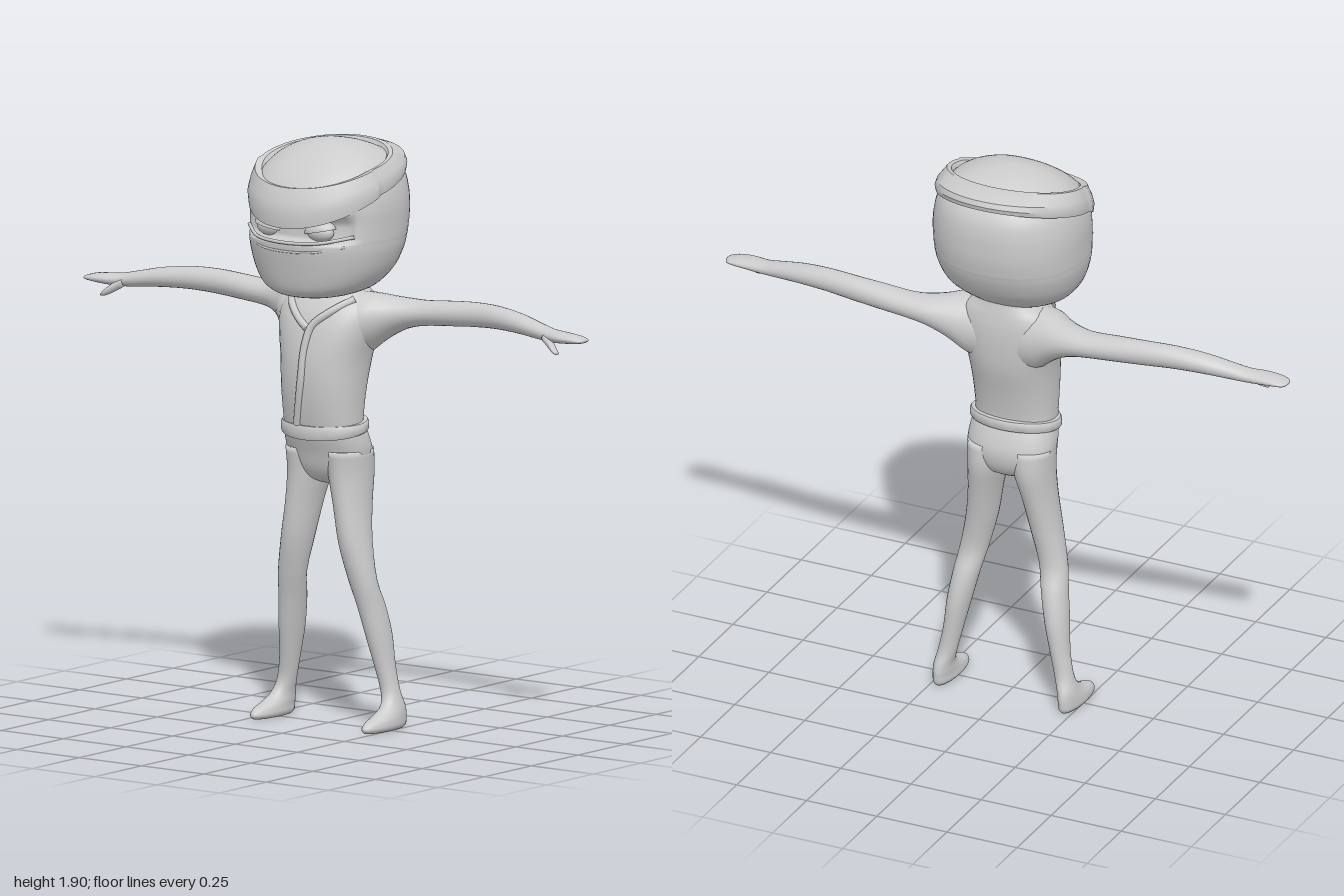
import * as THREE from 'three';
import { toCreasedNormals } from 'three/addons/utils/BufferGeometryUtils.js';

const material = new THREE.MeshStandardMaterial({ color: 0xcccccc, side: THREE.DoubleSide });

function addMesh(parent, name, geometry) {
  const mesh = new THREE.Mesh(geometry, material);
  mesh.name = name;
  parent.add(mesh);
  return mesh;
}

function indexed(points, index) {
  const g = new THREE.BufferGeometry();
  g.setAttribute('position', new THREE.Float32BufferAttribute(points.flat(), 3));
  g.setIndex(index);
  g.computeVertexNormals();
  return g;
}

// Mirror across x = 0, keeping faces outward
function mirrored(geometry) {
  const g = geometry.clone().scale(-1, 1, 1);
  const id = g.index.array;
  for (let i = 0; i < id.length; i += 3) [id[i], id[i + 1]] = [id[i + 1], id[i]];
  g.computeVertexNormals();
  return g;
}

function addPair(parent, name, geometry) {
  addMesh(parent, 'left' + name, geometry);
  addMesh(parent, 'right' + name, mirrored(geometry));
}

// Smoothly subdivide section rows
function refine(rows, steps) {
  const out = [];
  for (let i = 0; i < rows.length - 1; i++) {
    const [a, b, c, d] = [-1, 0, 1, 2].map(k => rows[THREE.MathUtils.clamp(i + k, 0, rows.length - 1)]);
    for (let s = 0; s < steps; s++) {
      const t = s / steps;
      out.push(b.map((q, k) => q + 0.5 * t * (c[k] - a[k] + t * (2 * a[k] - 5 * q + 4 * c[k] - d[k]
        + t * (3 * (q - c[k]) + d[k] - a[k])))));
    }
  }
  out.push(rows[rows.length - 1]);
  return out;
}

// Loft rounded sections [t, u0, u1, v0, v1]; along y: u = x, v = z; along x: u = y, v = z
function loft(rows, { axis = 'y', n = 2, segs = 28, steps = 3 } = {}) {
  const pts = [], index = [], sections = refine(rows, steps), last = sections.length - 1;
  const put = (t, u, v) => pts.push(axis === 'y' ? [u, t, v] : [t, u, v]);
  const tri = (a, b, c) => axis === 'y' ? index.push(a, b, c) : index.push(a, c, b);
  const bend = c => Math.sign(c) * Math.abs(c) ** (2 / n);
  sections.forEach(([t, u0, u1, v0, v1], r) => {
    for (let j = 0; j < segs; j++) {
      const a = j / segs * Math.PI * 2;
      put(t, (u0 + u1) / 2 + (u1 - u0) / 2 * bend(Math.cos(a)), (v0 + v1) / 2 + (v1 - v0) / 2 * bend(Math.sin(a)));
      if (r === last) continue;
      const p = r * segs + j, q = r * segs + (j + 1) % segs;
      tri(p, p + segs, q);
      tri(q, p + segs, q + segs);
    }
  });
  for (const r of [0, last]) {
    const [t, u0, u1, v0, v1] = sections[r], centre = pts.length;
    put(t, (u0 + u1) / 2, (v0 + v1) / 2);
    for (let j = 0; j < segs; j++) {
      const p = r * segs + j, q = r * segs + (j + 1) % segs;
      r ? tri(p, centre, q) : tri(p, q, centre);
    }
  }
  return indexed(pts, index);
}

// Closed band: a closed profile for every angle around y (0 = front)
function hoop(profile, segs = 72) {
  const pts = [], index = [];
  for (let i = 0; i < segs; i++) {
    const ring = profile(i / segs * Math.PI * 2), m = ring.length;
    pts.push(...ring);
    for (let j = 0; j < m; j++) {
      const k = (j + 1) % m, e = ((i + 1) % segs) * m, s = i * m;
      index.push(s + j, e + j, s + k, s + k, e + j, e + k);
    }
  }
  return toCreasedNormals(indexed(pts, index), 0.6);
}

// Front surface depth of a y-loft at (x, y)
function frontZ(rows, n, x, y) {
  let i = 0;
  while (i < rows.length - 2 && rows[i + 1][0] < y) i++;
  const f = (y - rows[i][0]) / (rows[i + 1][0] - rows[i][0]);
  const [, u0, u1, v0, v1] = rows[i].map((q, k) => q + (rows[i + 1][k] - q) * f);
  const s = Math.min(1, Math.abs(x / ((u1 - u0) / 2)));
  return (v0 + v1) / 2 + (v1 - v0) / 2 * (1 - s ** n) ** (1 / n);
}

// Piping laid on a surface through [x, y] points
function piping(rows, n, path, radius) {
  const p = path.map(([x, y]) => new THREE.Vector3(x, y, frontZ(rows, n, x, y)));
  return new THREE.TubeGeometry(new THREE.CatmullRomCurve3(p), 40, radius, 8);
}

// Symmetric section from height, half-width, back and front
const sym = ([y, w, back, front]) => [y, -w, w, back, front];

export function createModel() {
  const model = new THREE.Group();
  const head = new THREE.Group();
  head.name = 'head';
  model.add(head);
  const smooth = THREE.MathUtils.smoothstep;

  // Head with the eye slit pressed in above the mask
  const headRows = [
    [1.405, 0.04, 0.02, 0.12], [1.41, 0.1, -0.04, 0.175], [1.425, 0.15, -0.09, 0.2], [1.45, 0.19, -0.13, 0.213],
    [1.5, 0.225, -0.187, 0.225], [1.56, 0.244, -0.222, 0.237], [1.595, 0.248, -0.235, 0.24], [1.605, 0.249, -0.238, 0.24],
    [1.65, 0.25, -0.247, 0.238], [1.7, 0.25, -0.25, 0.238], [1.75, 0.243, -0.248, 0.228], [1.8, 0.225, -0.235, 0.19],
    [1.85, 0.185, -0.195, 0.125], [1.885, 0.115, -0.125, 0.065], [1.9, 0.05, -0.065, 0.02], [1.904, 0.004, -0.024, -0.016],
  ].map(sym);
  const skull = loft(headRows, { n: 2.25, segs: 56 });
  const pos = skull.attributes.position;
  for (let i = 0; i < pos.count; i++) {
    const x = Math.abs(pos.getX(i)), y = pos.getY(i), z = pos.getZ(i);
    if (z > 0) pos.setZ(i, z - 0.04 * smooth(y, 1.594, 1.606) * (1 - smooth(y, 1.66, 1.7)) * (1 - smooth(x, 0.18, 0.22)));
  }
  skull.computeVertexNormals();
  addMesh(head, 'maskedHead', skull);
  addMesh(head, 'maskEdge', piping(headRows, 2.25,
    [[-0.21, 1.622], [-0.12, 1.603], [0, 1.597], [0.12, 1.603], [0.21, 1.622]], 0.006));
  addMesh(head, 'maskFold', piping(headRows, 2.25,
    [[-0.19, 1.59], [-0.1, 1.572], [0, 1.568], [0.1, 1.572], [0.19, 1.59]], 0.004));

  // Eyes and slanted lids
  const eye = new THREE.SphereGeometry(1, 24, 16).scale(0.05, 0.03, 0.03).translate(0.1, 1.632, 0.178);
  addPair(head, 'Eye', eye);
  const lid = new THREE.SphereGeometry(1, 24, 8, 0, Math.PI * 2, 0, Math.PI / 2)
    .scale(0.058, 0.034, 0.038).rotateZ(0.2).translate(0.1, 1.635, 0.178);
  addPair(head, 'Eyelid', lid);

  // Tilted headband, deeper and thicker over the forehead
  addMesh(head, 'headband', hoop(a => {
    const s = Math.sin(a), c = Math.cos(a), z = 0.245 * c, front = z > 0.05;
    const low = 1.745 - (z - 0.05) * (front ? 0.53 : 0.3);
    const high = 1.832 - (z - 0.05) * (front ? 0.3 : 0.19);
    const k = front ? 1.03 : 0.995;
    const at = (r, y) => [0.25 * r * s, y, 0.248 * r * c];
    const top = (r, y) => [0.228 * r * s, y, 0.02 + 0.2 * r * c];
    return [at(0.85, low), at(k, low + 0.004), at(k + 0.015, low * 0.65 + high * 0.35),
      at(k - 0.015, low * 0.35 + high * 0.65), top(k, high), top(0.93, high - 0.002), top(0.85, high - 0.03)];
  }, 96));

  // Torso and neck
  const torsoRows = [
    [0.95, 0.137, -0.075, 0.115], [1.0, 0.136, -0.072, 0.128], [1.1, 0.14, -0.092, 0.143], [1.2, 0.148, -0.12, 0.143],
    [1.29, 0.17, -0.13, 0.125], [1.35, 0.175, -0.13, 0.1], [1.39, 0.155, -0.125, 0.07], [1.415, 0.12, -0.12, 0.045],
    [1.44, 0.095, -0.115, 0.03], [1.48, 0.09, -0.11, 0.03],
  ].map(sym);
  addMesh(model, 'torso', loft(torsoRows, { n: 2.3, segs: 40 }));

  // Jacket trim: long overlapping edge and the short opposite lapel
  addMesh(model, 'jacketEdge', piping(torsoRows, 2.3,
    [[0.125, 1.395], [0.07, 1.355], [0.02, 1.31], [0.005, 1.25], [-0.005, 1.13], [-0.035, 0.985]], 0.013));
  addMesh(model, 'jacketLapel', piping(torsoRows, 2.3,
    [[-0.125, 1.395], [-0.08, 1.36], [-0.035, 1.325], [0.005, 1.3]], 0.013));

  // Hips and belt
  addMesh(model, 'hips', loft([
    [0.785, 0.03, -0.035, 0.02], [0.805, 0.085, -0.075, 0.055], [0.84, 0.13, -0.098, 0.077],
    [0.89, 0.148, -0.105, 0.092], [0.94, 0.146, -0.092, 0.11], [0.98, 0.137, -0.075, 0.118],
  ].map(sym), { n: 2.3, segs: 40 }));
  addMesh(model, 'belt', hoop(a => {
    const s = Math.sin(a), c = Math.cos(a), y = 0.975 - 0.014 * c, h = 0.017 + 0.006 * Math.max(0, c);
    const at = (r, dy) => [0.151 * r * s, y + dy, 0.02 + 0.112 * r * c];
    return [at(0.85, -h), at(0.99, -h), at(1.02, -h * 0.6), at(1.02, h * 0.6), at(0.99, h), at(0.85, h)];
  }));

  // Legs running into the feet
  addPair(model, 'Leg', loft([
    [0, 0.195, 0.252, -0.095, 0.1], [0.012, 0.186, 0.261, -0.105, 0.113], [0.032, 0.187, 0.26, -0.107, 0.095],
    [0.05, 0.188, 0.256, -0.107, 0.045], [0.075, 0.188, 0.25, -0.102, 0.002], [0.12, 0.176, 0.238, -0.087, -0.02],
    [0.2, 0.158, 0.222, -0.086, -0.008], [0.3, 0.135, 0.213, -0.087, 0.015], [0.4, 0.113, 0.2, -0.068, 0.034],
    [0.48, 0.094, 0.188, -0.04, 0.052], [0.6, 0.064, 0.166, -0.052, 0.073], [0.72, 0.042, 0.15, -0.078, 0.077],
    [0.82, 0.018, 0.146, -0.102, 0.08], [0.9, 0.01, 0.148, -0.1, 0.09],
  ]));

  // Arms running into the hands
  addPair(model, 'Arm', loft([
    [0.06, 1.19, 1.41, -0.12, 0.06], [0.12, 1.205, 1.414, -0.13, 0.065], [0.17, 1.245, 1.41, -0.137, 0.045],
    [0.21, 1.275, 1.403, -0.142, 0.01], [0.26, 1.3, 1.398, -0.146, -0.022], [0.32, 1.313, 1.396, -0.146, -0.042],
    [0.42, 1.322, 1.404, -0.142, -0.05], [0.52, 1.33, 1.41, -0.135, -0.055], [0.62, 1.335, 1.409, -0.123, -0.045],
    [0.72, 1.333, 1.397, -0.108, -0.03], [0.8, 1.327, 1.38, -0.09, -0.022], [0.86, 1.324, 1.367, -0.08, -0.014],
    [0.91, 1.326, 1.363, -0.078, -0.002], [0.96, 1.33, 1.358, -0.075, -0.002], [0.99, 1.334, 1.35, -0.068, -0.01],
    [1.0, 1.339, 1.346, -0.05, -0.025],
  ], { axis: 'x', segs: 24 }));

  // Thumbs
  addPair(model, 'Thumb', loft([
    [0.845, 1.325, 1.355, -0.045, -0.012], [0.875, 1.307, 1.338, -0.034, -0.002],
    [0.9, 1.295, 1.317, -0.02, 0.008], [0.914, 1.293, 1.303, -0.012, 0.005],
  ], { axis: 'x', segs: 14 }));

  return model;
}
